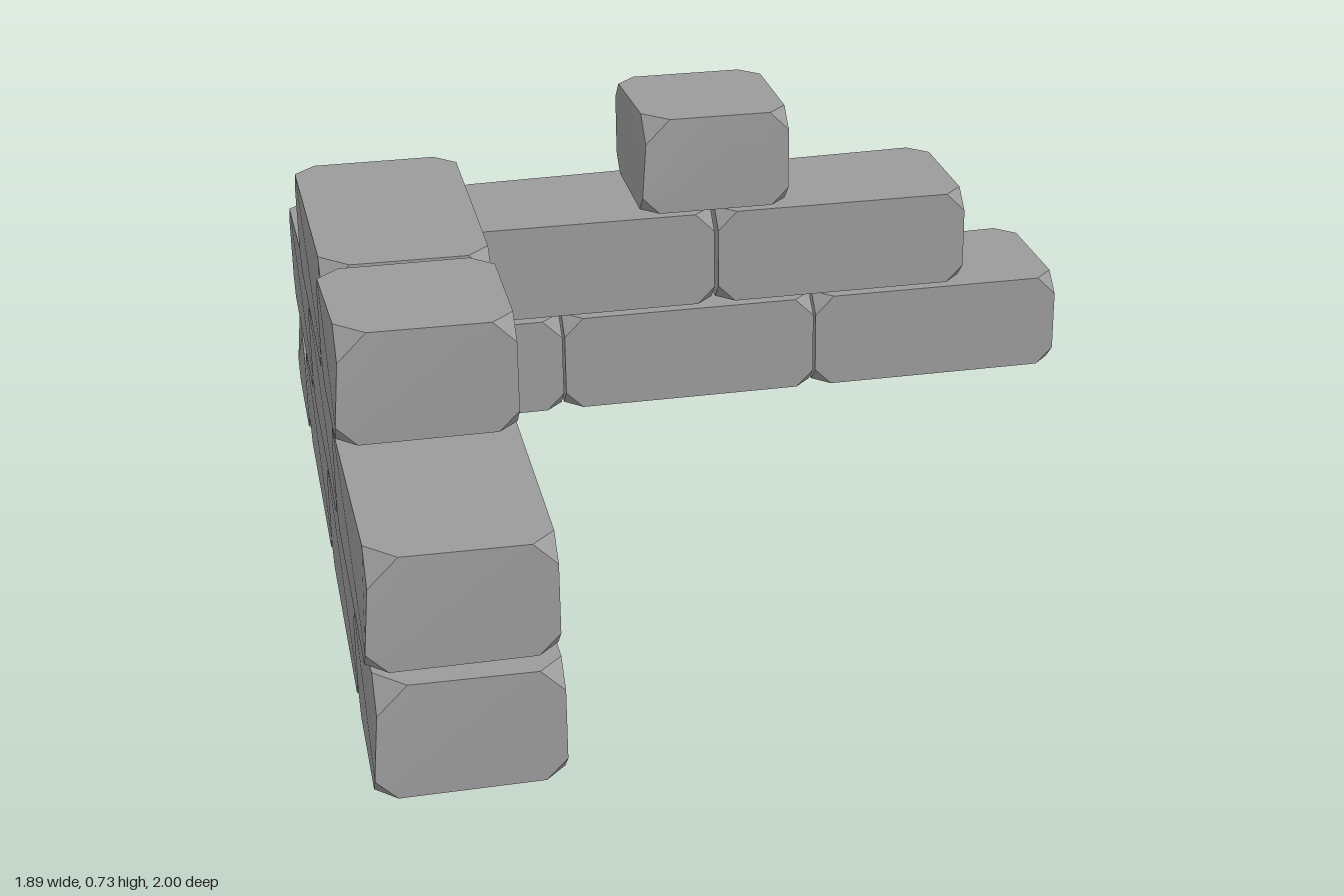
import * as THREE from 'three';
import { ConvexGeometry } from 'three/addons/geometries/ConvexGeometry.js';
import { toCreasedNormals } from 'three/addons/utils/BufferGeometryUtils.js';

const material = new THREE.MeshStandardMaterial({ color: 0x9b9b9b });

// A stone block with chipped corners; the upper -x corner on the wornZ side is worn most.
function block(name, [x0, x1], [y0, y1], [z0, z1], wornZ) {
  const points = [];
  for (const sx of [-1, 1]) for (const sy of [-1, 1]) for (const sz of [-1, 1]) {
    const worn = sx < 0 && sy > 0 && sz === wornZ;
    const cut = worn ? 0.06 : sy > 0 ? 0.047 : 0.042;
    const pull = worn ? 0.012 : 0;
    const corner = new THREE.Vector3(
      sx * ((x1 - x0) / 2 - pull),
      sy * ((y1 - y0) / 2 - pull * 0.3),
      sz * ((z1 - z0) / 2 - pull));
    points.push(
      corner.clone().add(new THREE.Vector3(-sx * cut, 0, 0)),
      corner.clone().add(new THREE.Vector3(0, -sy * cut, 0)),
      corner.clone().add(new THREE.Vector3(0, 0, -sz * cut)));
  }
  // Smooth the slight warp of the big faces, keep the chips sharp
  const mesh = new THREE.Mesh(toCreasedNormals(new ConvexGeometry(points), 0.2), material);
  mesh.name = name;
  mesh.position.set((x0 + x1) / 2, (y0 + y1) / 2, (z0 + z1) / 2);
  return mesh;
}

export function createModel() {
  const model = new THREE.Group();
  model.name = 'ruinedWallCorner';

  // Courses from the ground up: height range, x spans of the back wall, z spans of the side wall.
  // The long back blocks are turned a quarter, so their worn corner is at the back.
  const courses = [
    { name: 'bottom', y: [0, 0.238], backZ: [-1, -0.637], backWorn: -1,
      back: [[-0.948, -0.323], [-0.317, 0.312], [0.318, 0.947]],
      side: [[0.653, 1], [0.013, 0.643], [-0.624, 0.006]] },
    { name: 'middle', y: [0.25, 0.485], backZ: [-0.998, -0.637], backWorn: -1,
      back: [[-0.571, 0.06], [0.07, 0.698]],
      side: [[0.336, 0.963], [-0.306, 0.328], [-0.948, -0.314]] },
    { name: 'top', y: [0.496, 0.733], backZ: [-0.985, -0.634], backWorn: 1,
      back: [[-0.117, 0.245]],
      side: [[0.146, 0.497], [-0.496, 0.134]] },
  ];

  for (const { name, y, backZ, backWorn, back, side } of courses) {
    const group = new THREE.Group();
    group.name = name + 'Course';
    back.forEach((x, i) => group.add(block(`backWallBlock${i + 1}`, x, y, backZ, backWorn)));
    side.forEach((z, i) => group.add(block(`sideWallBlock${i + 1}`, [-0.946, -0.582], y, z, 1)));
    model.add(group);
  }
  return model;
}
